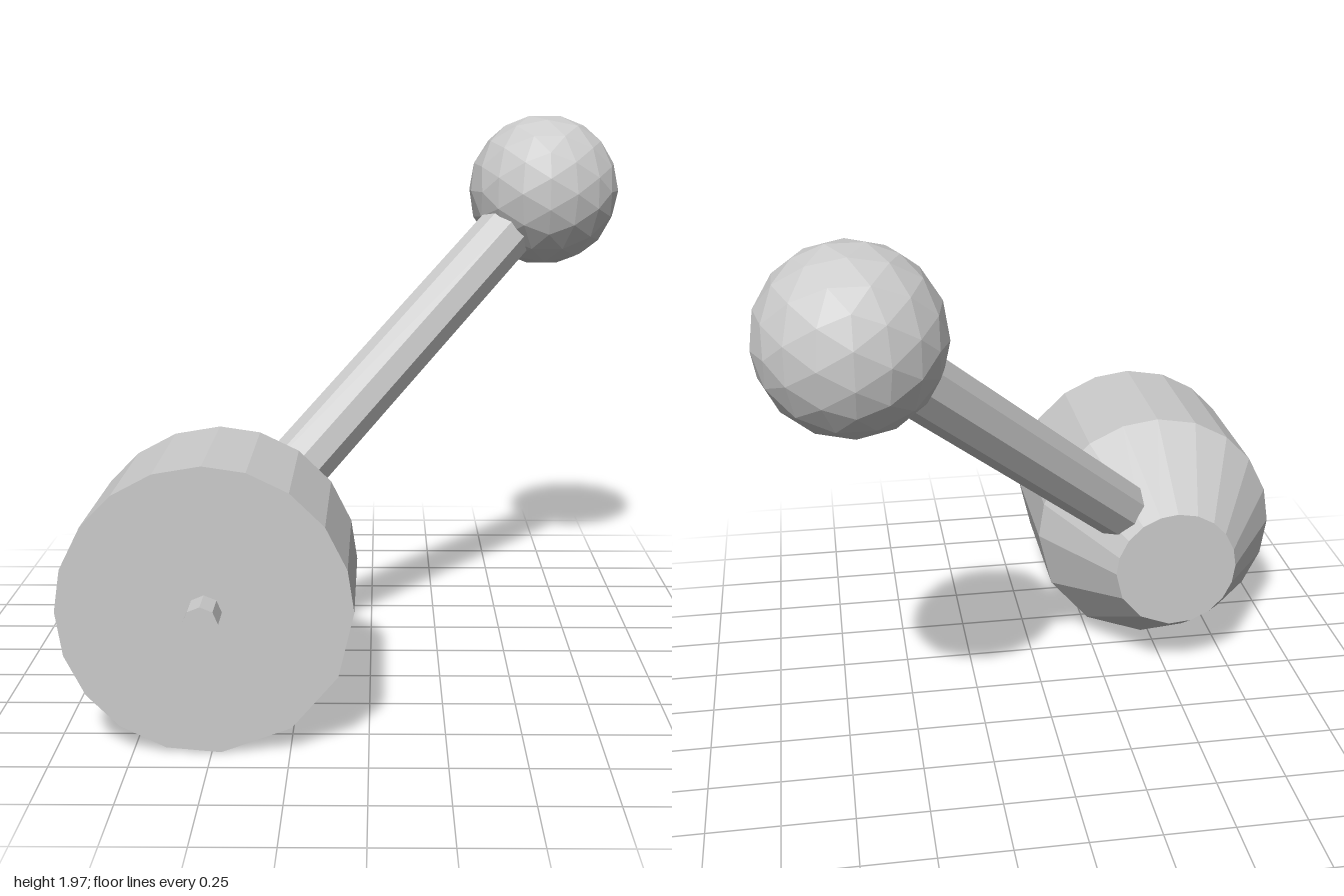
import * as THREE from 'three';

const material = new THREE.MeshStandardMaterial({ color: 0xcccccc, flatShading: true });

function part(name, geometry) {
  const mesh = new THREE.Mesh(geometry, material);
  mesh.name = name;
  return mesh;
}

// Solid along z from [z, radius] rings (front to back) with unevenly spaced sides.
function facetedSolid(rings, degrees) {
  const positions = [];
  const point = ([z, r], i) => {
    const a = THREE.MathUtils.degToRad(degrees[i % degrees.length]);
    return [r * Math.cos(a), r * Math.sin(a), z];
  };
  const loops = [[rings[0][0], 0], ...rings, [rings[rings.length - 1][0], 0]];
  for (let k = 0; k < loops.length - 1; k++) {
    const front = loops[k], back = loops[k + 1];
    for (let i = 0; i < degrees.length; i++) {
      const a = point(front, i), b = point(front, i + 1);
      const c = point(back, i), d = point(back, i + 1);
      if (front[1] > 0) positions.push(...a, ...c, ...b);
      if (back[1] > 0) positions.push(...b, ...c, ...d);
    }
  }
  const geometry = new THREE.BufferGeometry();
  geometry.setAttribute('position', new THREE.Float32BufferAttribute(positions, 3));
  geometry.computeVertexNormals();
  return geometry;
}

// Cylinder between two points.
function rod(from, to, radius, sides) {
  const axis = to.clone().sub(from);
  const geometry = new THREE.CylinderGeometry(radius, radius, axis.length(), sides);
  geometry.applyQuaternion(new THREE.Quaternion().setFromUnitVectors(
    new THREE.Vector3(0, 1, 0), axis.normalize()));
  const mid = from.clone().add(to).multiplyScalar(0.5);
  return geometry.translate(mid.x, mid.y, mid.z);
}

export function createModel() {
  const model = new THREE.Group();
  const hub = new THREE.Vector3(-0.515, 0.468, 0);
  const ball = new THREE.Vector3(0.685, 1.68, -0.705);

  // Drum with a tapered back
  const sides = [0, 17, 36, 55, 73, 90, 109, 127, 144, 163, 180, 198, 216, 234, 254, 275.5, 305, 333];
  const body = part('body', facetedSolid([[0.89, 0.47], [0.33, 0.47], [-0.04, 0.232]], sides));
  body.position.copy(hub);

  // Short pin in the front face
  const pin = part('pin', rod(
    new THREE.Vector3(hub.x, hub.y, 0.86), new THREE.Vector3(hub.x, hub.y, 1), 0.056, 8));

  // Slanted lever from the taper to the ball
  const along = t => ball.clone().add(new THREE.Vector3(-t, -t, 0.8 * t));
  const lever = part('lever', rod(along(1.1), along(0.13), 0.113, 9));

  // Faceted knob
  const knob = part('knob', new THREE.IcosahedronGeometry(0.298, 2));
  knob.position.copy(ball);

  model.add(body, pin, lever, knob);
  return model;
}
